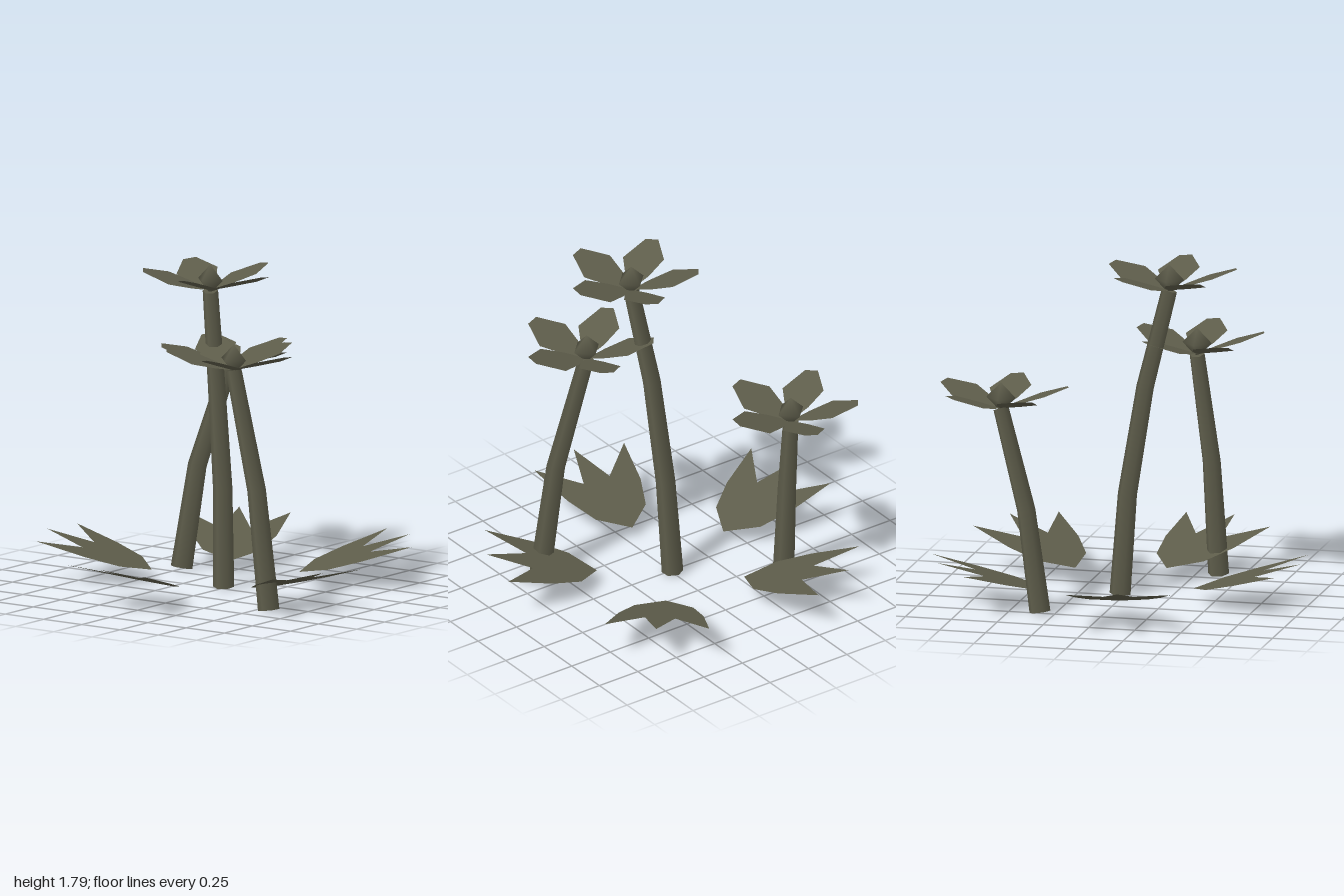
import * as THREE from 'three';

const olive = new THREE.MeshStandardMaterial({ color: 0x5d5c4a, side: THREE.DoubleSide });
olive.name = 'dull olive';

// Flat blade from an outline (u outwards, v sideways); height(u, v) lifts it
function blade(outline, height) {
  const geo = new THREE.ShapeGeometry(new THREE.Shape(outline.map(([u, v]) => new THREE.Vector2(u, v))));
  const p = geo.attributes.position;
  for (let i = 0; i < p.count; i++) {
    const u = p.getX(i), v = p.getY(i);
    p.setXYZ(i, u, height(u, v), v);
  }
  geo.computeVertexNormals();
  return geo;
}

// Tapered six-sided stem whose rings follow the given points
function stemGeometry(points) {
  const n = points.length - 1;
  const geo = new THREE.CylinderGeometry(0.041, 0.057, 1, 6, n);
  const p = geo.attributes.position;
  for (let i = 0; i < p.count; i++) {
    const row = Math.round((p.getY(i) + 0.5) * n);
    const [x, y, z] = points[row];
    const a = points[Math.max(row - 1, 0)], b = points[Math.min(row + 1, n)];
    // tilt each ring square to the stem
    const lean = (p.getX(i) * (b[0] - a[0]) + p.getZ(i) * (b[2] - a[2])) / (b[1] - a[1]);
    p.setXYZ(i, x + p.getX(i), y - lean, z + p.getZ(i));
  }
  return geo;
}

// Copies of one blade spread around an axis
function ring(name, geo, count, start) {
  const group = new THREE.Group();
  group.name = name + 's';
  for (let i = 0; i < count; i++) {
    const mesh = new THREE.Mesh(geo, olive);
    mesh.name = name;
    mesh.rotation.y = -THREE.MathUtils.degToRad(start + (i * 360) / count);
    group.add(mesh);
  }
  return group;
}

export function createModel() {
  const model = new THREE.Group();
  model.name = 'flowerPlant';

  // Petals rise outwards and twist a little so each overlaps the next
  const petal = blade(
    [[0, 0], [0.1, -0.065], [0.22, -0.118], [0.355, -0.037], [0.355, 0.034], [0.22, 0.11], [0.1, 0.065]],
    (u, v) => u * 0.31 + v * 0.12
  );
  const bud = new THREE.SphereGeometry(0.08, 4, 2);

  // Stems from ground to flower
  const stems = [
    [[0, 0.02, -0.02], [0.02, 0.56, 0.015], [0.045, 1.14, 0.105], [0.093, 1.66, 0.225]],
    [[0.58, 0.02, 0.37], [0.49, 0.65, 0.355], [0.315, 1.27, 0.32]],
    [[-0.5, 0.02, -0.33], [-0.46, 0.56, -0.415], [-0.37, 1.08, -0.575]],
  ];
  for (const points of stems) {
    const stem = new THREE.Mesh(stemGeometry(points), olive);
    stem.name = 'stem';
    const [x, y, z] = points[points.length - 1];
    const flower = new THREE.Group();
    flower.name = 'flower';
    flower.position.set(x, y, z);
    const centre = new THREE.Mesh(bud, olive);
    centre.name = 'flowerCentre';
    centre.position.y = 0.06;
    flower.add(ring('petal', petal, 5, 0), centre);
    model.add(stem, flower);
  }

  // Ground leaves, each with three fingers
  const half = [[0.53, 0.155], [0.7, 0.225], [0.955, 0.277], [0.775, 0.08]];
  const mirrored = half.map(([u, v]) => [u, -v]).reverse();
  const leaf = blade([[0.41, 0], ...half, [1.01, 0], ...mirrored], (u) => 0.08 + (u - 0.41) * 0.295);
  const leaves = ring('leaf', leaf, 5, 94.6);
  leaves.name = 'leaves';
  leaves.position.z = -0.02;
  model.add(leaves);

  return model;
}
